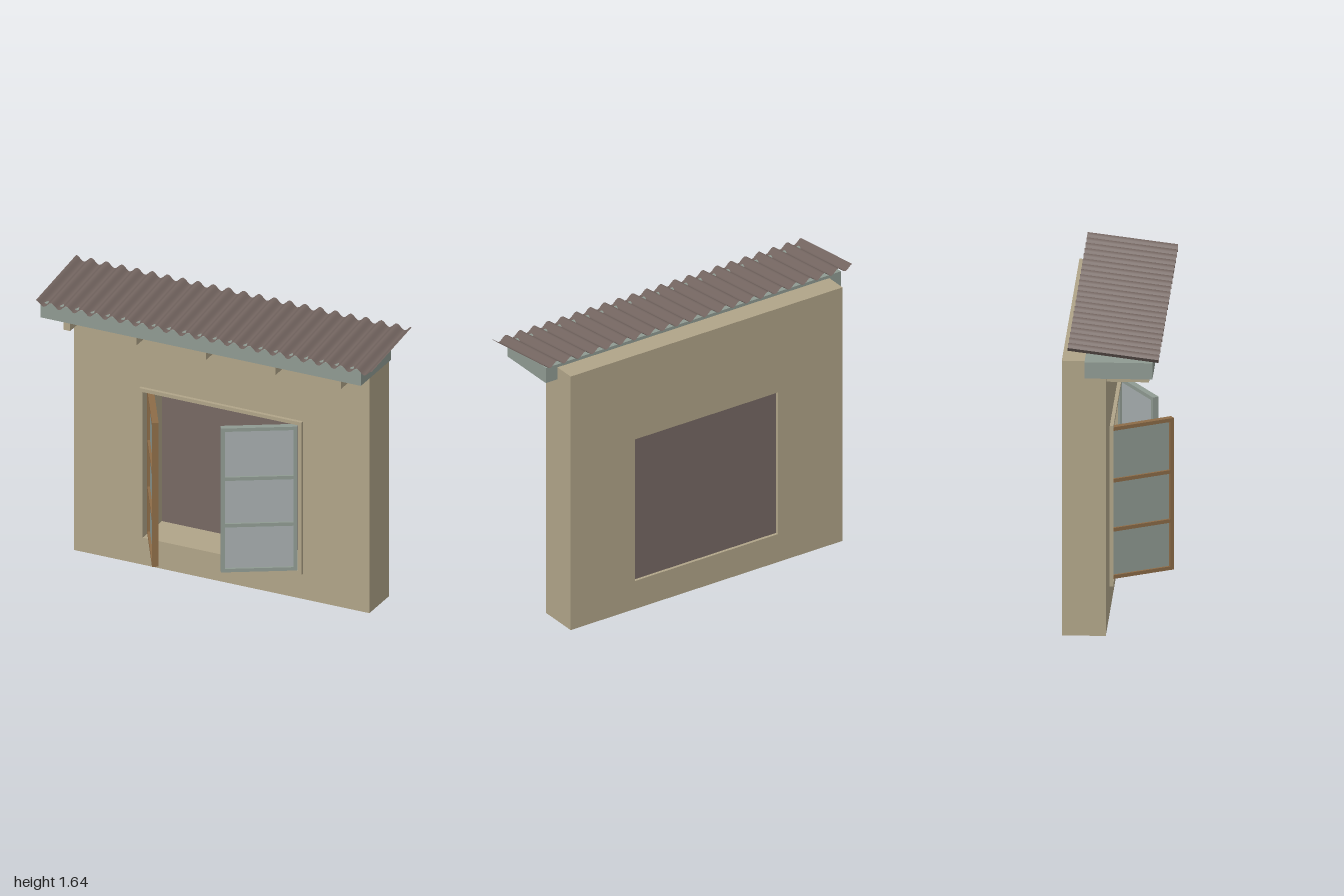
import * as THREE from 'three';

const mat = (name, color, side = THREE.FrontSide) => {
  const m = new THREE.MeshStandardMaterial({ color, side });
  m.name = name;
  return m;
};

export function createModel() {
  const model = new THREE.Group();
  model.name = 'wallWithWindow';

  const plaster = mat('plaster', 0xb0a488);
  const paint = mat('greyGreenPaint', 0x8f9a92);
  const wood = mat('wood', 0x8c6b47);
  const glass = mat('paleGlass', 0xa6adae);
  const backing = mat('darkBacking', 0x766863);
  const metal = mat('roofMetal', 0x72645f, THREE.DoubleSide);

  // Box given by its minimum and maximum corners
  const box = (parent, name, material, [x0, y0, z0], [x1, y1, z1]) => {
    const mesh = new THREE.Mesh(new THREE.BoxGeometry(x1 - x0, y1 - y0, z1 - z0), material);
    mesh.position.set((x0 + x1) / 2, (y0 + y1) / 2, (z0 + z1) / 2);
    mesh.name = name;
    parent.add(mesh);
    return mesh;
  };

  // Rectangular slab pierced by the window opening
  const open = { x0: -0.495, x1: 0.43, y0: 0.17, y1: 1.03 };
  const rect = (path, x0, y0, x1, y1) =>
    path.moveTo(x0, y0).lineTo(x1, y0).lineTo(x1, y1).lineTo(x0, y1).closePath();
  const pierced = (name, x0, y0, x1, y1, z0, z1) => {
    const shape = rect(new THREE.Shape(), x0, y0, x1, y1);
    shape.holes.push(rect(new THREE.Path(), open.x0, open.y0, open.x1, open.y1));
    const geo = new THREE.ExtrudeGeometry(shape, { depth: z1 - z0, bevelEnabled: false });
    const mesh = new THREE.Mesh(geo, plaster);
    mesh.position.z = z0;
    mesh.name = name;
    model.add(mesh);
  };
  pierced('wall', -0.913, 0, 0.845, 1.54, -0.285, -0.05);
  pierced('windowTrim', -0.517, 0.15, 0.45, 1.05, -0.05, -0.03);

  // Dark panel closing the back of the opening
  box(model, 'backPanel', backing, [open.x0, open.y0, -0.268], [open.x1, open.y1, -0.26]);

  // Hinged leaf: dir is the local x direction it extends in from the hinge
  const leaf = (name, frame, pane, dir, length, x, z, angle) => {
    const g = new THREE.Group();
    g.name = name;
    const t = 0.035, w = 0.022, y0 = 0.175, y1 = 1.025;
    const span = (part, m, a, b, ya, yb, za, zb) =>
      box(g, part, m, [Math.min(a * dir, b * dir), ya, za], [Math.max(a * dir, b * dir), yb, zb]);
    span('hingeStile', frame, 0, w, y0, y1, -t, 0);
    span('freeStile', frame, length - w, length, y0, y1, -t, 0);
    for (const y of [0.185, 0.45, 0.725, 1.015])
      span('rail', frame, w, length - w, y - 0.01, y + 0.01, -t, 0);
    span('pane', pane, w, length - w, y0 + 0.02, y1 - 0.02, -t / 2 - 0.004, -t / 2 + 0.004);
    g.position.set(x, 0, z);
    g.rotation.y = angle;
    model.add(g);
  };
  leaf('leftLeaf', paint, glass, -1, 0.41, 0.43, -0.025, Math.PI / 6);
  leaf('rightLeaf', wood, paint, 1, 0.42, -0.495, -0.083, -Math.PI / 3);

  // Eaves beam and the brackets under it
  box(model, 'eavesBeam', paint, [-0.988, 1.467, -0.16], [0.92, 1.558, 0.203]);
  for (const x of [-0.843, -0.447, -0.035, 0.38, 0.77])
    box(model, 'bracket', plaster, [x - 0.019, 1.41, -0.06], [x + 0.019, 1.467, 0.178]);

  // Corrugated sheet sloping down to the front
  const waves = 22;
  const sheet = new THREE.PlaneGeometry(2, 0.485, waves * 10, 1).rotateX(-Math.PI / 2);
  sheet.translate(0, 0, -0.008);
  const p = sheet.attributes.position;
  for (let i = 0; i < p.count; i++) {
    const wave = 0.015 * Math.cos(Math.PI * waves * (p.getX(i) + 1));
    p.setY(i, 1.595 - 0.124 * (p.getZ(i) + 0.008) + wave);
  }
  sheet.computeVertexNormals();
  const roof = new THREE.Mesh(sheet, metal);
  roof.name = 'corrugatedRoof';
  model.add(roof);

  return model;
}
